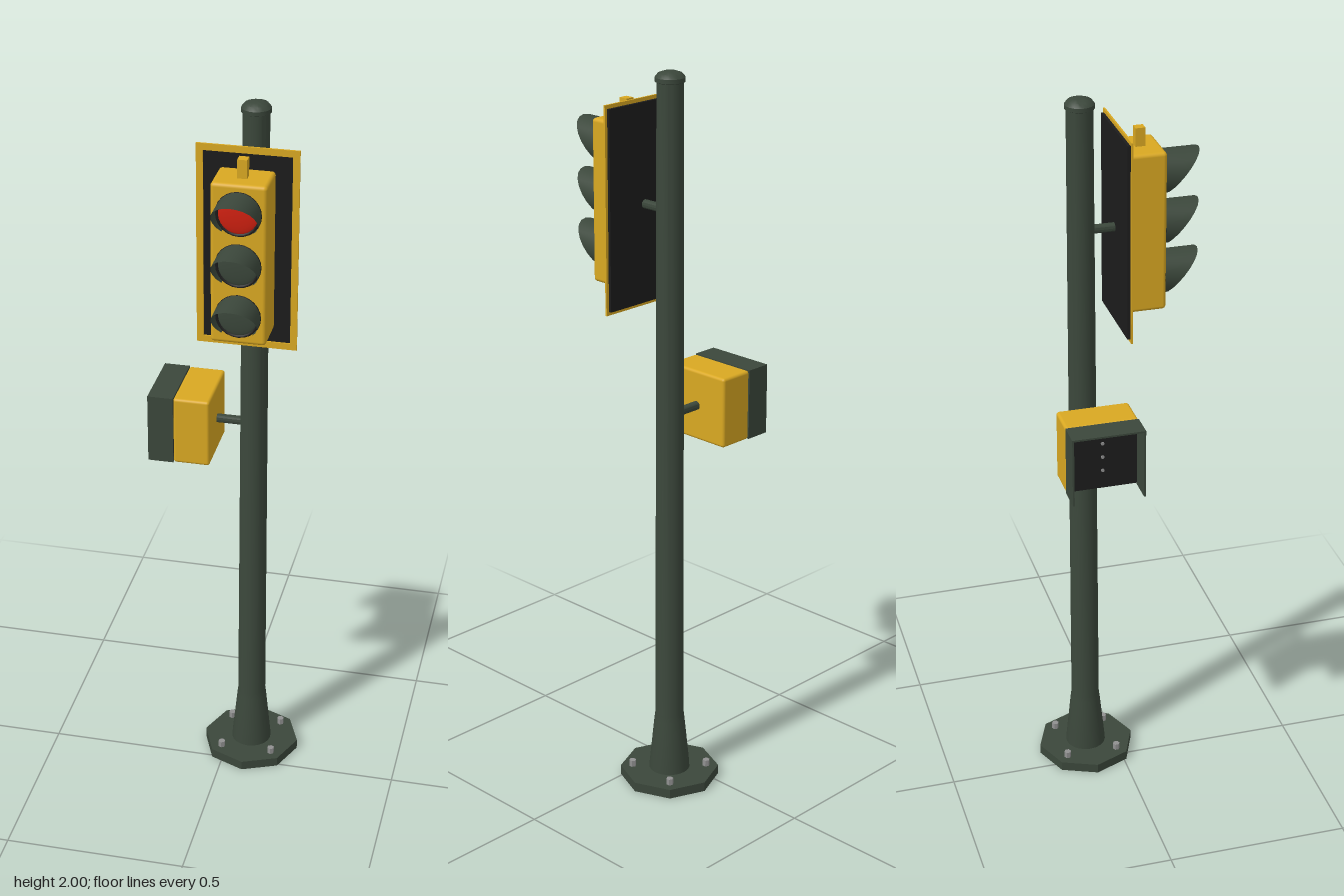
import * as THREE from 'three';
import { toCreasedNormals } from 'three/addons/utils/BufferGeometryUtils.js';
import { RoundedBoxGeometry } from 'three/addons/geometries/RoundedBoxGeometry.js';

const PX = 0.067, PZ = -0.09; // pole axis

function material(name, color, side = THREE.FrontSide) {
  const m = new THREE.MeshStandardMaterial({ color, side });
  m.name = name;
  return m;
}

export function createModel() {
  const green = material('darkGreen', 0x3b473b, THREE.DoubleSide);
  const yellow = material('signalYellow', 0xd9a822);
  const black = material('black', 0x1c1c1c);
  const red = material('red', 0xd02010);
  const grey = material('boltGrey', 0x909090);

  const model = new THREE.Group();
  model.name = 'trafficSignal';
  const add = (parent, name, geo, mat, x = 0, y = 0, z = 0) => {
    const mesh = new THREE.Mesh(geo, mat);
    mesh.name = name;
    mesh.position.set(x, y, z);
    parent.add(mesh);
    return mesh;
  };
  const rod = (r, len, axis, sides = 12) => {
    const g = new THREE.CylinderGeometry(r, r, len, sides);
    if (axis === 'x') g.rotateZ(Math.PI / 2);
    if (axis === 'z') g.rotateX(Math.PI / 2);
    return toCreasedNormals(g, 0.7);
  };

  // Octagonal foot with four bolts
  const foot = new THREE.Group();
  foot.name = 'foot';
  foot.position.set(PX, 0, PZ);
  model.add(foot);
  add(foot, 'footPlate', toCreasedNormals(new THREE.CylinderGeometry(0.137, 0.137, 0.027, 8), 0.5), green, 0, 0.0135, 0);
  for (const sx of [-1, 1]) for (const sz of [-1, 1])
    add(foot, 'bolt', rod(0.01, 0.02, 'y', 6), grey, sx * 0.073, 0.035, sz * 0.073);

  // Pole with flared base and domed cap
  const profile = [
    [0, 0.02], [0.057, 0.02], [0.056, 0.04], [0.042, 0.18], [0.0395, 0.2],
    [0.035, 1.97], [0.039, 1.972], [0.039, 1.983], [0.031, 1.993], [0.017, 1.998], [0, 2],
  ].map(([x, y]) => new THREE.Vector2(x, y));
  add(model, 'pole', toCreasedNormals(new THREE.LatheGeometry(profile, 20), 0.6), green, PX, 0, PZ);

  // Signal head
  const head = new THREE.Group();
  head.name = 'signalHead';
  head.position.set(PX, 1.64, 0);
  model.add(head);
  add(head, 'headArm', rod(0.012, 0.08, 'z'), green, 0, 0, -0.035);
  add(head, 'backPlate', new THREE.BoxGeometry(0.25, 0.532, 0.009), black, 0, 0, 0.0045);
  const rect = (C, w, h) => new C([[-w, -h], [w, -h], [w, h], [-w, h]].map(([x, y]) => new THREE.Vector2(x, y)));
  const border = rect(THREE.Shape, 0.133, 0.276);
  border.holes.push(rect(THREE.Path, 0.115, 0.258));
  add(head, 'plateBorder', new THREE.ExtrudeGeometry(border, { depth: 0.005, bevelEnabled: false }), yellow, 0, 0, 0.008);
  add(head, 'housing', new RoundedBoxGeometry(0.145, 0.436, 0.113, 3, 0.01), yellow, 0, 0, 0.0645);
  add(head, 'topTab', new THREE.BoxGeometry(0.025, 0.055, 0.026), yellow, 0, 0.24, 0.066);

  // Visor: tube cut obliquely, longest at the top
  const visorGeo = new THREE.CylinderGeometry(0.059, 0.059, 1, 16, 1, true, Math.PI - 2.4, 4.8);
  visorGeo.rotateX(Math.PI / 2);
  const p = visorGeo.attributes.position;
  for (let i = 0; i < p.count; i++) {
    const up = (1 + p.getY(i) / 0.059) / 2;
    p.setZ(i, p.getZ(i) > 0 ? 0.004 + 0.1 * Math.pow(up, 1.15) : -0.002);
  }
  visorGeo.computeVertexNormals();
  const lensGeo = new THREE.SphereGeometry(0.054, 24, 6, 0, Math.PI * 2, 0, Math.PI / 2);
  lensGeo.rotateX(Math.PI / 2).scale(1, 1, 0.15);
  [[0.14, red], [0, green], [-0.14, green]].forEach(([y, mat]) => {
    const lamp = new THREE.Group();
    lamp.name = 'lamp';
    lamp.position.set(0, y, 0.121);
    head.add(lamp);
    add(lamp, 'lens', lensGeo, mat);
    add(lamp, 'lensRim', new THREE.TorusGeometry(0.055, 0.005, 6, 24), black);
    add(lamp, 'visor', visorGeo, green);
  });

  // Pedestrian signal, facing -x
  const walk = new THREE.Group();
  walk.name = 'pedestrianSignal';
  walk.position.set(0, 1.082, PZ);
  model.add(walk);
  add(walk, 'sideArm', rod(0.012, 0.09, 'x'), green, -0.005, 0, 0);
  add(walk, 'box', new RoundedBoxGeometry(0.1, 0.195, 0.198, 3, 0.008), yellow, -0.085, 0, 0);
  add(walk, 'screen', new THREE.BoxGeometry(0.006, 0.185, 0.188), black, -0.135, 0, 0);
  for (const y of [-0.04, 0, 0.04])
    add(walk, 'screenLight', rod(0.005, 0.003, 'x', 8), grey, -0.139, y, 0);

  // Hood: top and two sides, open below
  add(walk, 'hoodTop', new THREE.BoxGeometry(0.07, 0.005, 0.198), green, -0.17, 0.095, 0);
  for (const s of [-1, 1])
    add(walk, 'hoodSide', new THREE.BoxGeometry(0.07, 0.19, 0.005), green, -0.17, -0.0025, s * 0.0965);

  return model;
}
